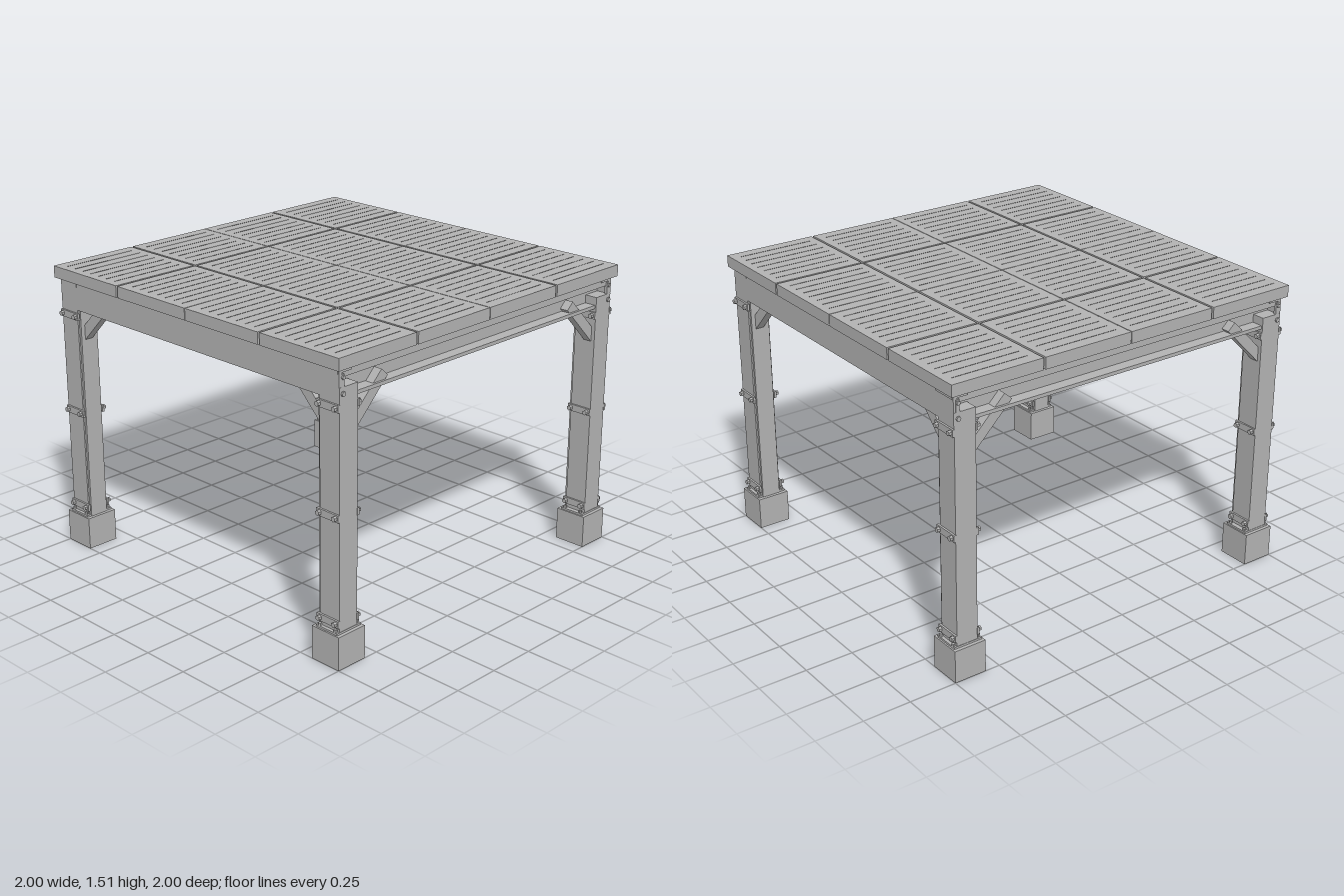
import * as THREE from 'three';

export function createModel() {
  const model = new THREE.Group();
  const grey = new THREE.MeshStandardMaterial({ color: 0xb2b2b2 });
  grey.name = 'plain grey';

  // Box given by its min and max corners
  function box(parent, name, x0, x1, y0, y1, z0, z1) {
    const m = new THREE.Mesh(new THREE.BoxGeometry(x1 - x0, y1 - y0, z1 - z0), grey);
    m.position.set((x0 + x1) / 2, (y0 + y1) / 2, (z0 + z1) / 2);
    m.name = name;
    parent.add(m);
    return m;
  }

  // Hexagonal bolt along an axis
  function bolt(parent, axis, x, y, z, r, len) {
    const g = new THREE.CylinderGeometry(r, r, len, 6).toNonIndexed();
    g.computeVertexNormals();
    const m = new THREE.Mesh(g, grey);
    if (axis === 'x') m.rotation.z = Math.PI / 2;
    if (axis === 'z') m.rotation.x = Math.PI / 2;
    m.position.set(x, y, z);
    m.name = 'bolt';
    parent.add(m);
  }

  // Diagonal knee brace between a post and a beam, drawn as (distance, height)
  function brace(parent, alongX, offset, depth) {
    const s = new THREE.Shape();
    [[0.65, 1.335], [0.69, 1.372], [0.875, 1.187], [0.875, 1.11]]
      .forEach(([u, v], i) => (i ? s.lineTo(u, v) : s.moveTo(u, v)));
    const g = new THREE.ExtrudeGeometry(s, { depth, bevelEnabled: false });
    const m = new THREE.Mesh(g, grey);
    if (alongX) m.position.z = offset;
    else {
      m.rotation.y = -Math.PI / 2;
      m.position.x = offset + depth;
    }
    m.name = 'kneeBrace';
    parent.add(m);
  }

  // Four corner posts; each is built at a +x, +z style position from its signs
  for (const sx of [-1, 1]) for (const sz of [-1, 1]) {
    const post = new THREE.Group();
    post.name = 'cornerPost';
    model.add(post);
    const b = (name, x0, x1, y0, y1, z0, z1) => box(post, name,
      Math.min(sx * x0, sx * x1), Math.max(sx * x0, sx * x1), y0, y1,
      Math.min(sz * z0, sz * z1), Math.max(sz * z0, sz * z1));

    b('footing', 0.828, 1, 0, 0.17, 0.828, 1);
    b('basePlate', 0.848, 0.982, 0.17, 0.18, 0.835, 0.992);
    b('postBody', 0.858, 0.98, 0.17, 1.36, 0.86, 0.975);
    b('innerFlange', 0.845, 0.858, 0.17, 1.3, 0.868, 0.967);
    for (const x of [0.865, 0.965]) for (const z of [0.845, 0.985]) {
      bolt(post, 'y', sx * x, 0.186, sz * z, 0.009, 0.014);
    }

    // Clamp straps with bolts on the front and back faces
    for (const y of [0.22, 0.745, 1.265]) {
      b('outerStrap', 0.845, 0.982, y - 0.018, y + 0.018, 0.973, 0.985);
      b('innerStrap', 0.845, 0.982, y - 0.018, y + 0.018, 0.85, 0.862);
      for (const x of [0.864, 0.964]) for (const z of [0.842, 0.991]) {
        bolt(post, 'z', sx * x, y, sz * z, 0.013, 0.018);
      }
    }

    // Angle bracket and bolts joining post to beams
    b('angleBracket', 0.965, 0.98, 1.35, 1.42, 0.945, 0.965);
    bolt(post, 'x', sx * 0.982, 1.33, sz * 0.955, 0.012, 0.014);
    bolt(post, 'x', sx * 0.982, 1.405, sz * 0.955, 0.01, 0.014);
  }

  // Knee braces: one pair of corners built, the others rotated or mirrored
  for (const sx of [-1, 1]) for (const sz of [-1, 1]) {
    brace(model, true, 0.9, 0.045);
    const a = model.children[model.children.length - 1];
    if (sx < 0) a.rotation.y = Math.PI;
    a.position.z = sz > 0 ? 0.9 : -0.945;
    if (sx < 0) a.position.z += 0.045;

    brace(model, false, 0.915, 0.045);
    const c = model.children[model.children.length - 1];
    c.rotation.y = sz > 0 ? -Math.PI / 2 : Math.PI / 2;
    const x0 = sx > 0 ? 0.915 : -0.96;
    c.position.x = sz > 0 ? x0 + 0.045 : x0;
  }

  // Front and back channel beams
  for (const s of [-1, 1]) {
    const z = (a, c) => [Math.min(s * a, s * c), Math.max(s * a, s * c)];
    const beam = new THREE.Group();
    beam.name = 'crossBeam';
    model.add(beam);
    box(beam, 'web', -0.978, 0.978, 1.3, 1.447, ...z(0.957, 0.977));
    box(beam, 'topFlange', -0.978, 0.978, 1.427, 1.447, ...z(0.9, 0.957));
    box(beam, 'bottomFlange', -0.978, 0.978, 1.3, 1.317, ...z(0.9, 0.957));
  }

  // Side beams with a packing strip under the deck
  for (const s of [-1, 1]) {
    const beam = new THREE.Group();
    beam.name = 'sideBeam';
    model.add(beam);
    const b = (name, x0, x1, y0, y1, l) =>
      box(beam, name, Math.min(s * x0, s * x1), Math.max(s * x0, s * x1), y0, y1, -l, l);
    b('web', 0.895, 0.912, 1.315, 1.405, 0.955);
    b('topFlange', 0.85, 0.972, 1.402, 1.422, 0.955);
    b('bottomFlange', 0.85, 0.972, 1.3, 1.318, 0.955);
    b('packingStrip', 0.85, 0.972, 1.422, 1.447, 0.98);
  }

  // Inner I-section joists
  for (const x of [-0.5, 0, 0.5]) {
    const joist = new THREE.Group();
    joist.name = 'joist';
    model.add(joist);
    box(joist, 'web', x - 0.009, x + 0.009, 1.36, 1.435, -0.955, 0.955);
    box(joist, 'topFlange', x - 0.033, x + 0.033, 1.432, 1.447, -0.955, 0.955);
    box(joist, 'bottomFlange', x - 0.033, x + 0.033, 1.345, 1.36, -0.955, 0.955);
  }

  // Deck of sixteen panels with fine seams
  const spans = [[-1, -0.506], [-0.494, -0.002], [0.002, 0.494], [0.506, 1]];
  const deck = new THREE.Group();
  deck.name = 'deck';
  model.add(deck);
  for (const [x0, x1] of spans) for (const [z0, z1] of spans) {
    box(deck, 'deckPanel', x0, x1, 1.447, 1.507, z0, z1);
    for (let i = 1; i < 8; i++) {
      const x = x0 + (x1 - x0) * i / 8;
      box(deck, 'panelSeam', x - 0.0008, x + 0.0008, 1.506, 1.5085, z0 + 0.04, z1 - 0.04);
    }
  }
  return model;
}
